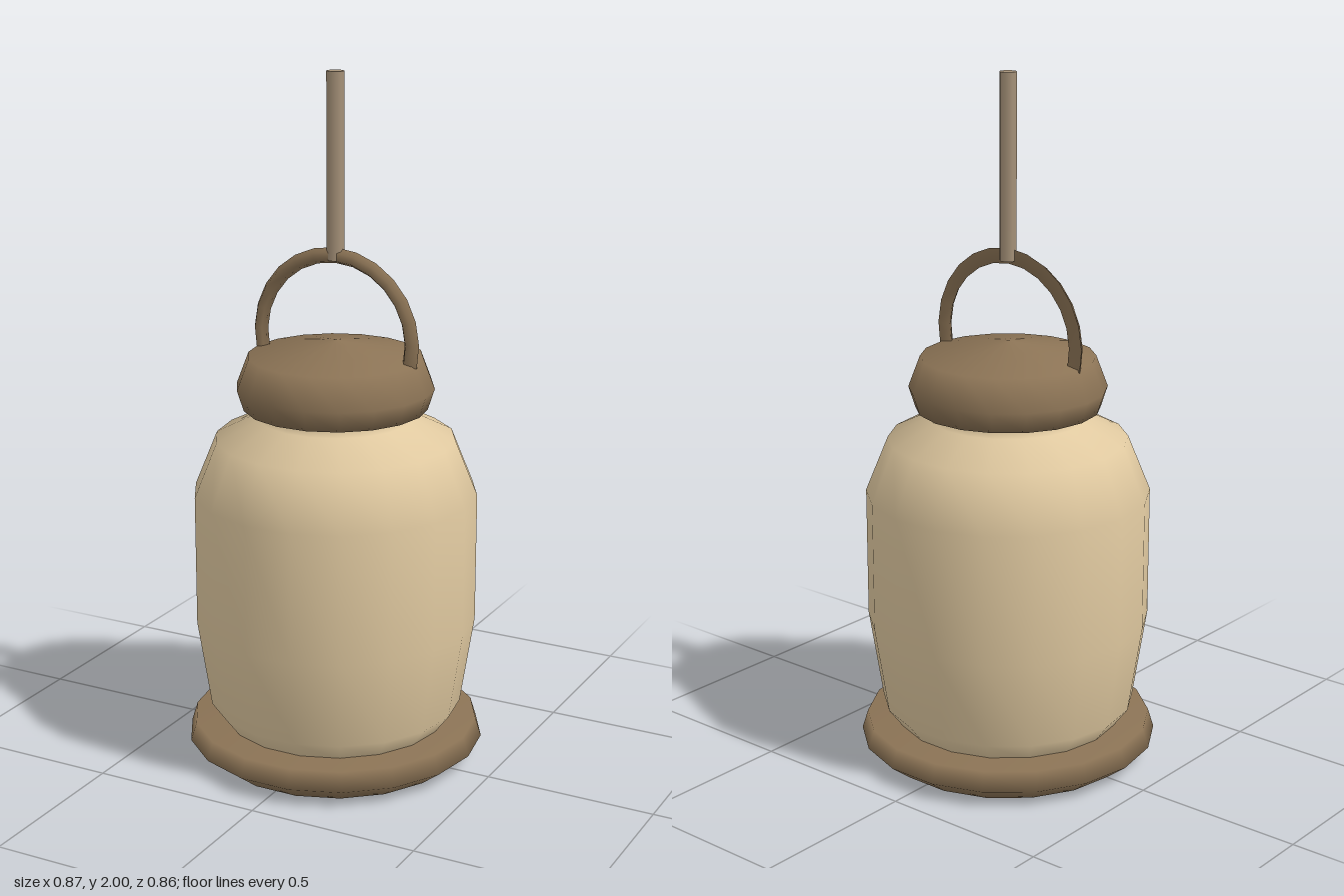
import * as THREE from 'three';

const SIDES = 18;

export function createModel() {
  const group = new THREE.Group();
  const material = (name, color, side = THREE.FrontSide) => {
    const m = new THREE.MeshStandardMaterial({ color, side });
    m.name = name;
    return m;
  };
  const brown = material('brown', 0x8b7355, THREE.DoubleSide);
  const cream = material('cream', 0xe0c9a0);
  const tan = material('tan', 0xa69279);

  const add = (name, geometry, mat) => {
    const mesh = new THREE.Mesh(geometry, mat);
    mesh.name = name;
    group.add(mesh);
    return mesh;
  };
  const points = (list) => list.map(([r, y]) => new THREE.Vector2(r, y));
  // Turned part whose corners fall on the x axis
  const turned = (name, profile, mat) =>
    add(name, new THREE.LatheGeometry(points(profile), SIDES, Math.PI / 2), mat);

  // Flared foot
  turned('base', [[0, 0], [0.37, 0], [0.435, 0.05], [0.418, 0.105], [0, 0.105]], brown);

  // Rounded jar with shoulder and neck
  turned('body', [
    [0.325, 0.1], [0.37, 0.16], [0.41, 0.42], [0.41, 0.8],
    [0.345, 0.96], [0.224, 1.02], [0.224, 1.06],
  ], cream);

  // Lid with a shallow conical top
  turned('lid', [[0, 1.05], [0.265, 1.05], [0.284, 1.11], [0.25, 1.2], [0, 1.245]], brown);

  // Arched carrying handle, flat at the back and chamfered at the front
  const dip = 0.22;
  const ring = new THREE.LatheGeometry(
    points([[0.262, 0], [0.251, 0.019], [0.229, 0.019], [0.218, 0], [0.262, 0]]),
    14, Math.PI / 2 - dip, Math.PI + 2 * dip);
  ring.rotateX(Math.PI / 2);
  add('handle', ring, brown).position.y = 1.248;

  // Hanging rod
  const rod = new THREE.CylinderGeometry(0.025, 0.025, 0.525, 8);
  rod.rotateY(Math.PI / 8);
  add('hangingRod', rod, tan).position.y = 1.7375;

  return group;
}
